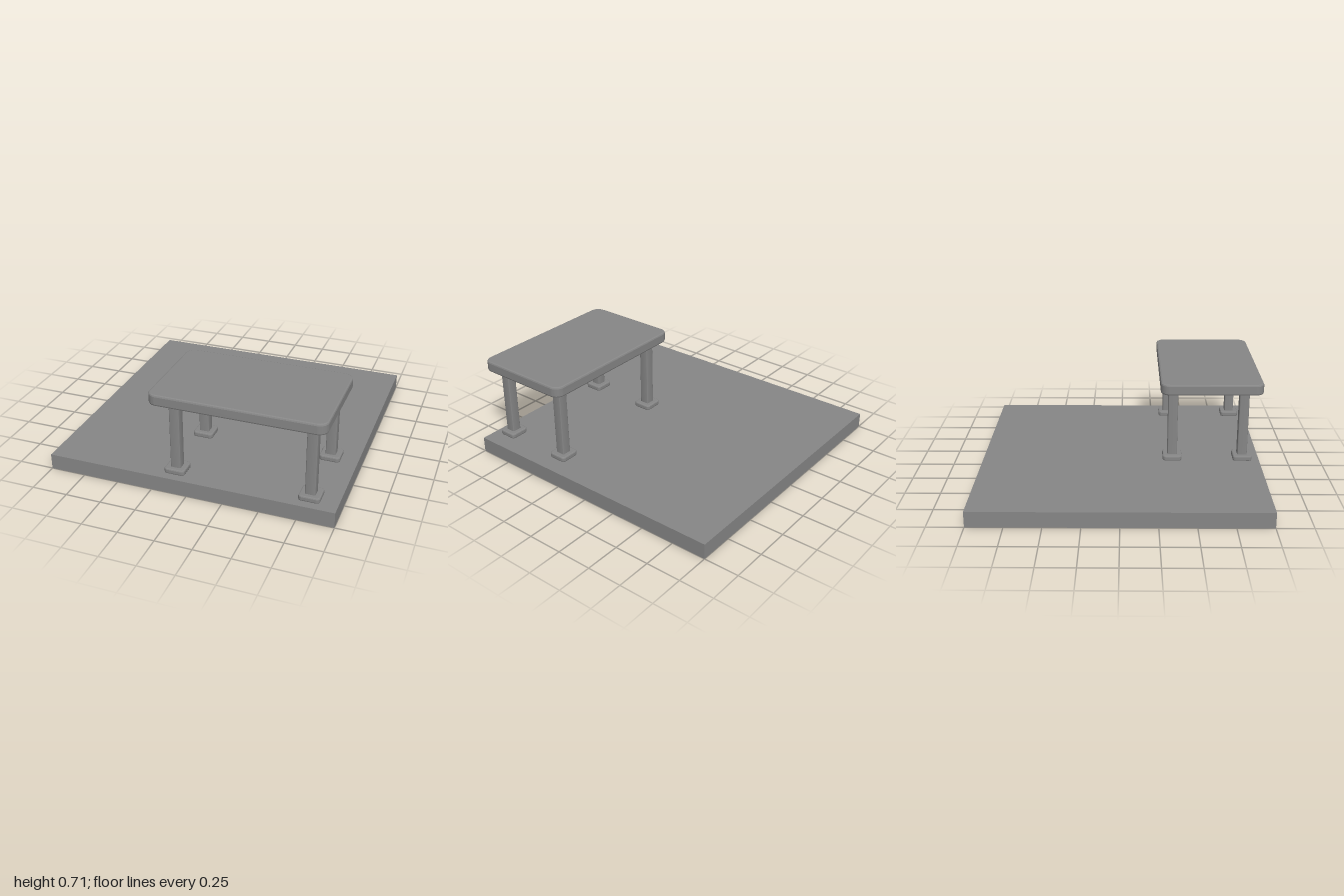
import * as THREE from 'three';
import { toCreasedNormals } from 'three/addons/utils/BufferGeometryUtils.js';

const material = new THREE.MeshStandardMaterial({ color: 0x868686 });

// Upright slab with rounded corners and softened top and bottom rims, resting on y = 0
function roundedSlab(width, height, depth, radius, bevel) {
  const x = width / 2 - bevel, y = depth / 2 - bevel, r = radius - bevel;
  const shape = new THREE.Shape();
  shape.absarc(x - r, y - r, r, 0, Math.PI / 2);
  shape.absarc(-x + r, y - r, r, Math.PI / 2, Math.PI);
  shape.absarc(-x + r, -y + r, r, Math.PI, Math.PI * 1.5);
  shape.absarc(x - r, -y + r, r, Math.PI * 1.5, Math.PI * 2);
  shape.closePath();
  const geometry = new THREE.ExtrudeGeometry(shape, {
    depth: height - 2 * bevel,
    bevelThickness: bevel,
    bevelSize: bevel,
    bevelSegments: 2,
    curveSegments: 6,
  });
  geometry.translate(0, 0, bevel).rotateX(-Math.PI / 2);
  // Crease below the rim angle, so the flat faces stay evenly shaded
  return toCreasedNormals(geometry, 0.35);
}

function addPart(parent, name, geometry, x, y, z) {
  const mesh = new THREE.Mesh(geometry, material);
  mesh.name = name;
  mesh.position.set(x, y, z);
  parent.add(mesh);
}

export function createModel() {
  const model = new THREE.Group();
  model.name = 'tableOnFloor';

  // Floor slab
  const floorTop = 0.11;
  addPart(model, 'floor', new THREE.BoxGeometry(2, floorTop, 2), 0, floorTop / 2, 0);

  // Table standing towards the front left of the floor
  const table = new THREE.Group();
  table.name = 'table';
  table.position.set(0.33, floorTop, 0.64);
  model.add(table);

  addPart(table, 'tableTop', roundedSlab(1.18, 0.078, 0.72, 0.065, 0.012), 0, 0.527, 0);

  // Four square legs, each on a rounded foot
  const legGeometry = roundedSlab(0.07, 0.52, 0.07, 0.009, 0.003);
  const footGeometry = roundedSlab(0.144, 0.038, 0.138, 0.024, 0.009);
  for (const x of [-0.438, 0.482]) {
    for (const z of [-0.268, 0.238]) {
      addPart(table, 'leg', legGeometry, x, 0.015, z);
      addPart(table, 'foot', footGeometry, x, 0.001, z);
    }
  }
  return model;
}
